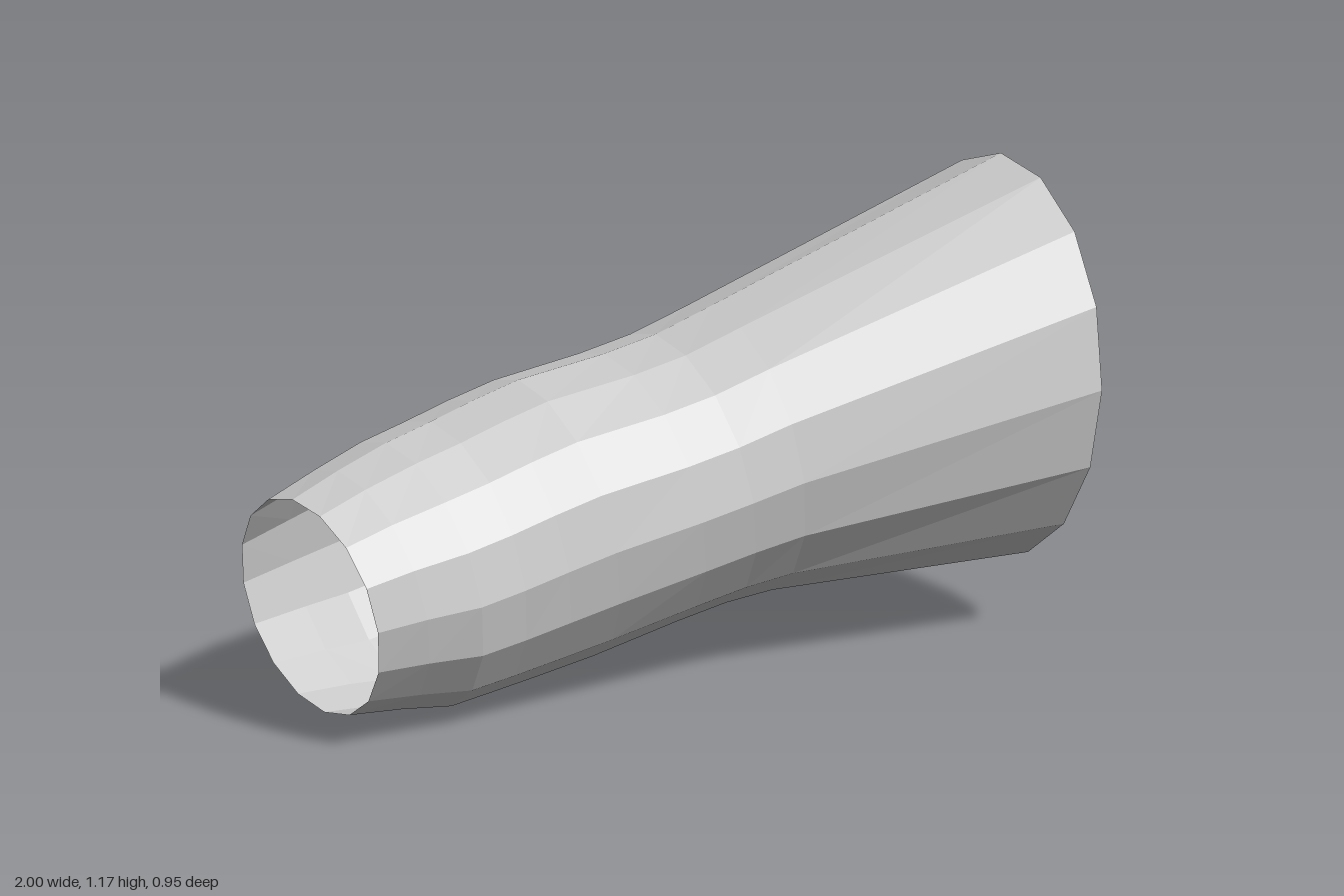
import * as THREE from 'three';

// Cross-sections along the sleeve: centre x, y, z, half height, half depth,
// then how far the top and the +z side lean along x
const RINGS = [
  [-0.92, 0.29, 0.22, 0.25, 0.245, -0.03, 0.075],
  [-0.79, 0.303, 0.178, 0.28, 0.283, -0.04, 0.06],
  [-0.66, 0.3125, 0.1375, 0.3125, 0.3175, -0.04, 0.06],
  [-0.54, 0.3325, 0.106, 0.3225, 0.334, -0.04, 0.05],
  [-0.42, 0.3585, 0.087, 0.3315, 0.343, -0.05, 0.04],
  [-0.29, 0.3875, 0.0735, 0.3375, 0.3505, -0.06, 0.03],
  [-0.06, 0.431, 0.049, 0.331, 0.369, -0.06, 0.02],
  [0.08, 0.461, 0.038, 0.334, 0.378, -0.06, 0.01],
  [0.22, 0.495, 0.0295, 0.355, 0.3895, -0.05, 0],
  [1, 0.6525, 0, 0.5175, 0.475, 0, 0],
];
const SIDES = 16;

// Open tube lofted through the tilted elliptical rings
function loft(rings) {
  const positions = [];
  const index = [];
  rings.forEach(([x, y, z, ry, rz, leanY, leanZ], i) => {
    for (let j = 0; j < SIDES; j++) {
      const angle = (j / SIDES) * Math.PI * 2;
      const c = Math.cos(angle);
      const s = Math.sin(angle);
      positions.push(x + leanY * c + leanZ * s, y + ry * c, z + rz * s);
      if (i === rings.length - 1) continue;
      const a = i * SIDES + j;
      const b = i * SIDES + ((j + 1) % SIDES);
      index.push(a, b, a + SIDES, b, b + SIDES, a + SIDES);
    }
  });
  const geometry = new THREE.BufferGeometry();
  geometry.setAttribute('position', new THREE.Float32BufferAttribute(positions, 3));
  geometry.setIndex(index);
  geometry.computeVertexNormals();
  return geometry;
}

export function createModel() {
  const group = new THREE.Group();
  group.name = 'flaredSleeve';

  const lightGrey = new THREE.MeshStandardMaterial({
    color: 0xcccccc,
    flatShading: true,
    side: THREE.DoubleSide,
  });
  lightGrey.name = 'light grey';

  const sleeve = new THREE.Mesh(loft(RINGS), lightGrey);
  sleeve.name = 'sleeve';
  group.add(sleeve);
  return group;
}
